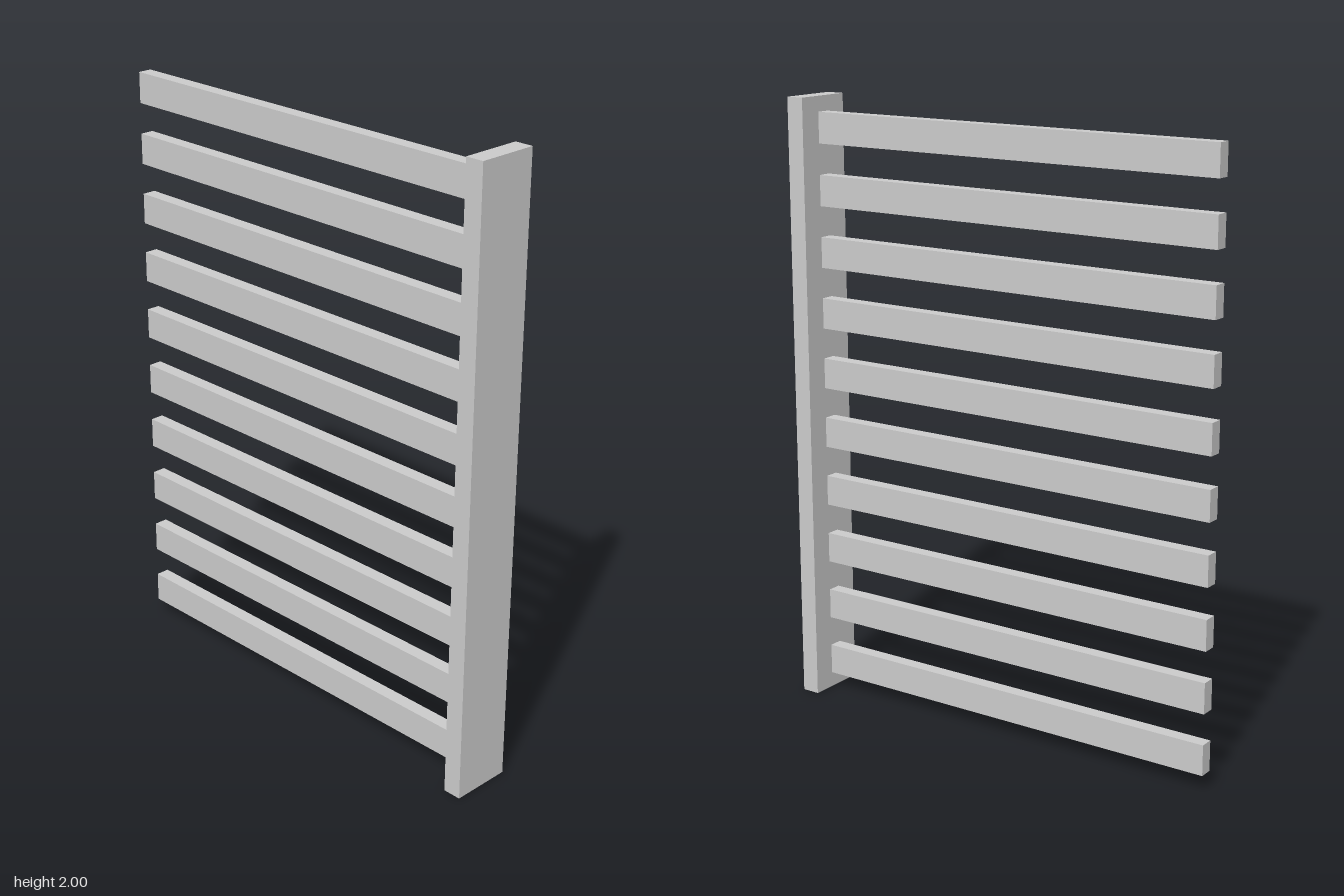
import * as THREE from 'three';

export function createModel() {
  const group = new THREE.Group();
  group.name = 'slattedRack';
  const material = new THREE.MeshStandardMaterial({ color: 0xcccccc, flatShading: true });

  const addBox = (name, w, h, d, x, y) => {
    const mesh = new THREE.Mesh(new THREE.BoxGeometry(w, h, d), material);
    mesh.name = name;
    mesh.position.set(x, y, 0);
    group.add(mesh);
  };

  // Upright post on the model's left
  addBox('post', 0.06, 2, 0.2, 0.72, 1);

  // Evenly spaced horizontal slats reaching out from the post
  for (let i = 0; i < 10; i++) {
    addBox(`slat${i + 1}`, 1.44, 0.1, 0.045, -0.03, 0.1 + i * 0.2);
  }

  return group;
}
